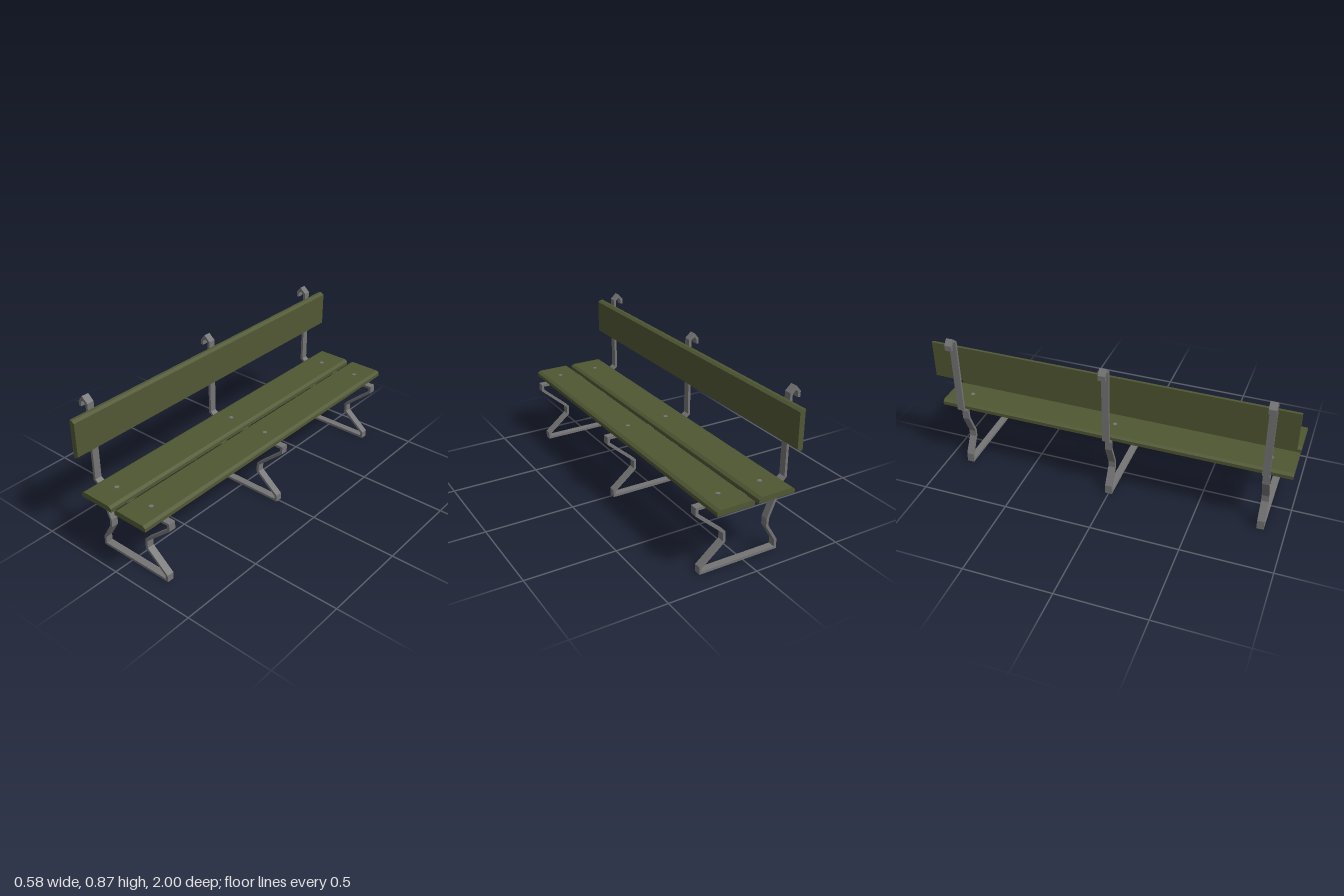
import * as THREE from 'three';

const BAR = 0.0145;   // thickness of the bent flat bar
const DEPTH = 0.04;   // width of the bar along z
const FRAMES = [-0.866, 0, 0.866];

// Offsets a polyline sideways by d, with mitred corners
function offsetLine(pts, d, closed) {
  const n = pts.length;
  const normal = (a, b) => new THREE.Vector2(a.y - b.y, b.x - a.x).normalize();
  return pts.map((p, i) => {
    const prev = closed ? pts[(i + n - 1) % n] : pts[i - 1];
    const next = closed ? pts[(i + 1) % n] : pts[i + 1];
    const n1 = prev ? normal(prev, p) : normal(p, next);
    const n2 = next ? normal(p, next) : n1;
    const m = n1.clone().add(n2).normalize();
    return p.clone().addScaledVector(m, d / m.dot(n1));
  });
}

const toPoints = (list) => list.map(([x, y]) => new THREE.Vector2(x, y));

// Extrudes a shape along z, centred on z = 0
function extrude(shape, depth) {
  const geometry = new THREE.ExtrudeGeometry(shape, { depth, bevelEnabled: false });
  return geometry.translate(0, 0, -depth / 2);
}

export function createModel() {
  const group = new THREE.Group();
  const wood = new THREE.MeshStandardMaterial({ color: 0x505733 });
  wood.name = 'olive painted wood';
  const metal = new THREE.MeshStandardMaterial({ color: 0x747474 });
  metal.name = 'grey metal';

  function add(name, geometry, material, x = 0, y = 0, z = 0) {
    const mesh = new THREE.Mesh(geometry, material);
    mesh.name = name;
    mesh.position.set(x, y, z);
    group.add(mesh);
  }

  // Closed leg loop: floor bar, kinked legs and seat rail
  const loop = toPoints([
    [-0.198, 0.007], [0.248, 0.007], [0.248, 0.037], [0.118, 0.144],
    [0.118, 0.195], [0.279, 0.336], [0.279, 0.369], [-0.192, 0.369],
    [-0.192, 0.309], [-0.141, 0.19], [-0.141, 0.148], [-0.198, 0.053],
  ]);
  const legShape = new THREE.Shape(offsetLine(loop, -BAR / 2, true));
  legShape.holes.push(new THREE.Path(offsetLine(loop, BAR / 2, true)));
  const legGeometry = extrude(legShape, DEPTH);

  // Back post with a hooked top
  const post = toPoints([
    [-0.19, 0.362], [-0.235, 0.398], [-0.235, 0.837],
    [-0.262, 0.861], [-0.282, 0.837], [-0.282, 0.81],
  ]);
  const postShape = new THREE.Shape([
    ...offsetLine(post, BAR / 2, false),
    ...offsetLine(post, -BAR / 2, false).reverse(),
  ]);
  const postGeometry = extrude(postShape, DEPTH);

  // Plank section lying flat, with both upper edges chamfered
  const w = 0.105, h = 0.031, cx = 0.016, cy = 0.011;
  const plankGeometry = extrude(new THREE.Shape(toPoints([
    [-w, 0], [w, 0], [w, h - cy], [w - cx, h], [-w + cx, h], [-w, h - cy],
  ])), 2);
  add('rearSeatPlank', plankGeometry, wood, -0.095, 0.3763, 0);
  add('frontSeatPlank', plankGeometry, wood, 0.1385, 0.3763, 0);

  // Backrest board, chamfered on its seat side
  const b = 0.1055, t = 0.031;
  const backGeometry = extrude(new THREE.Shape(toPoints([
    [0, -b], [t - 0.016, -b], [t, -b + 0.011], [t, b - 0.011], [t - 0.016, b], [0, b],
  ])), 2);
  add('backrestBoard', backGeometry, wood, -0.2283, 0.699, 0);

  // Frames and the bolts that hold the seat planks
  const boltGeometry = new THREE.CylinderGeometry(0.013, 0.013, 0.004, 6);
  for (const z of FRAMES) {
    add('legFrame', legGeometry, metal, 0, 0, z);
    add('backPost', postGeometry, metal, 0, 0, z);
    for (const x of [-0.092, 0.149]) add('seatBolt', boltGeometry, metal, x, 0.407, z);
  }
  return group;
}
